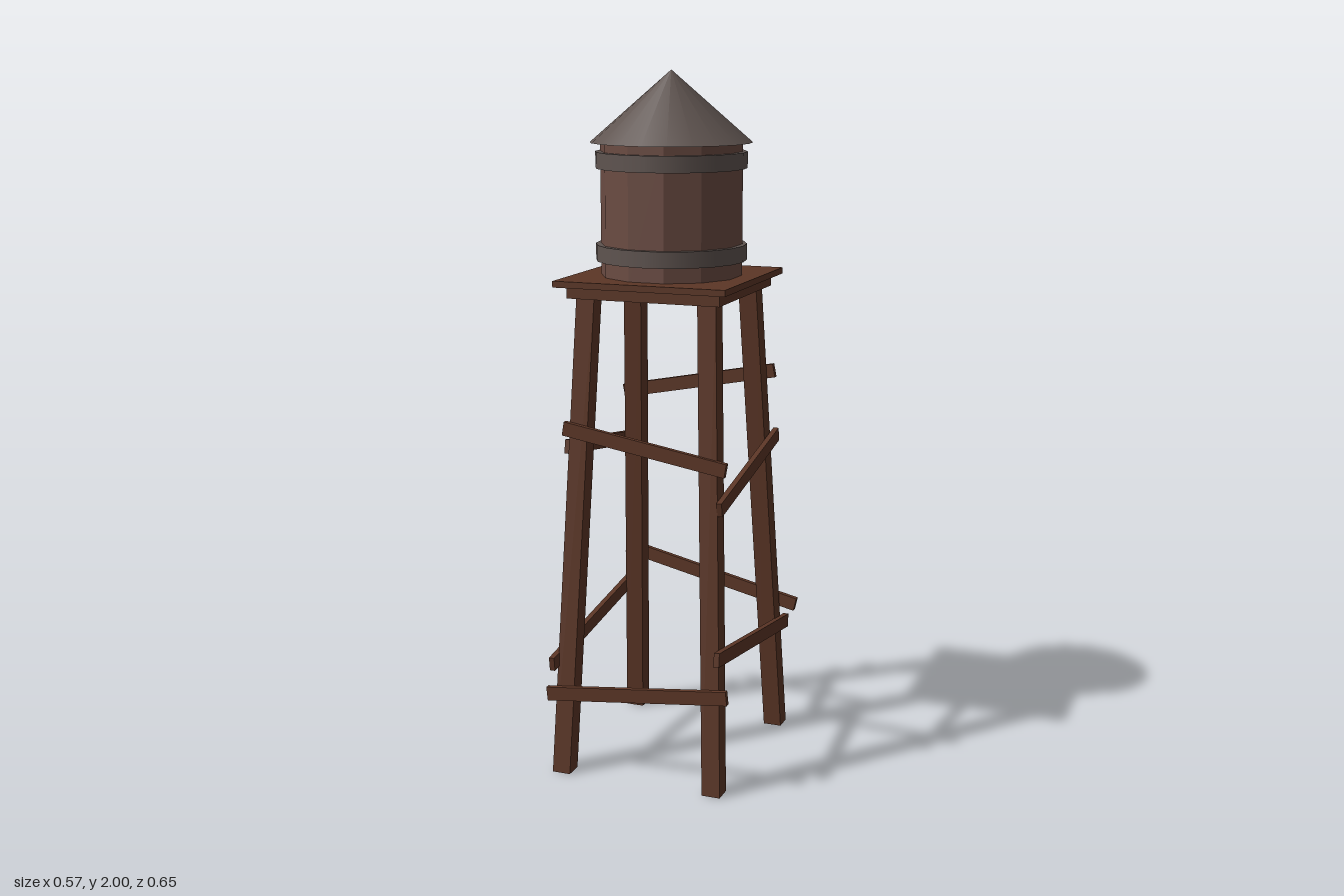
import * as THREE from 'three';

const wood = new THREE.MeshStandardMaterial({ color: 0x5c3626 });
const stave = new THREE.MeshStandardMaterial({ color: 0x6b4c43, flatShading: true });
const metal = new THREE.MeshStandardMaterial({ color: 0x5f5450 });

export function createModel() {
  const model = new THREE.Group();
  model.name = 'waterTower';

  const add = (name, geometry, material, x = 0, y = 0, z = 0) => {
    const mesh = new THREE.Mesh(geometry, material);
    mesh.name = name;
    mesh.position.set(x, y, z);
    model.add(mesh);
    return mesh;
  };

  // Tank: twelve flat staves, two hoops and a conical roof
  const cx = -0.02, cz = -0.008;
  add('tank', new THREE.CylinderGeometry(0.202, 0.202, 0.39, 12).rotateY(Math.PI / 12), stave, cx, 1.615, cz);
  for (const y of [1.493, 1.752]) {
    add('hoop', new THREE.CylinderGeometry(0.215, 0.215, 0.046, 20), metal, cx, y, cz);
  }
  add('roof', new THREE.ConeGeometry(0.23, 0.2, 20), metal, cx, 1.9, cz);

  // Platform: wide deck over a smaller base board
  add('platformDeck', new THREE.BoxGeometry(0.508, 0.018, 0.51), wood, -0.023, 1.418, -0.01);
  add('platformBase', new THREE.BoxGeometry(0.452, 0.034, 0.452), wood, -0.021, 1.393, -0.01);

  // Legs: square posts sheared inwards towards the top
  const legTop = 1.38;
  const addLeg = (x0, z0, x1, z1) => {
    const geometry = new THREE.BoxGeometry(0.054, legTop, 0.054).translate(0, legTop / 2, 0);
    const p = geometry.attributes.position;
    for (let i = 0; i < p.count; i++) {
      const t = p.getY(i) / legTop;
      p.setX(i, p.getX(i) + x0 + (x1 - x0) * t);
      p.setZ(i, p.getZ(i) + z0 + (z1 - z0) * t);
    }
    geometry.computeVertexNormals();
    add('leg', geometry, wood);
  };
  for (const [x0, x1] of [[-0.238, -0.198], [0.223, 0.162]]) {
    for (const [z0, z1] of [[0.291, 0.172], [-0.273, -0.172]]) addLeg(x0, z0, x1, z1);
  }

  // Braces: crooked planks nailed across the outside of each pair of legs
  const addBrace = (name, from, to) => {
    const a = new THREE.Vector3(...from), b = new THREE.Vector3(...to);
    const mesh = add(name, new THREE.BoxGeometry(0.016, 0.04, a.distanceTo(b)), wood);
    mesh.position.copy(a).lerp(b, 0.5);
    mesh.lookAt(b);
  };
  addBrace('frontUpperBrace', [-0.25, 1.01, 0.24], [0.235, 0.928, 0.238]);
  addBrace('frontLowerBrace', [-0.283, 0.235, 0.303], [0.263, 0.293, 0.298]);
  addBrace('backUpperBrace', [-0.258, 1.03, -0.228], [0.222, 1.125, -0.228]);
  addBrace('backLowerBrace', [-0.281, 0.513, -0.297], [0.28, 0.387, -0.287]);
  addBrace('leftUpperBrace', [0.22, 0.818, 0.25], [0.22, 0.925, -0.26]);
  addBrace('leftLowerBrace', [0.24, 0.41, 0.323], [0.24, 0.322, -0.317]);
  addBrace('rightUpperBrace', [-0.247, 0.953, 0.225], [-0.247, 0.88, -0.25]);
  addBrace('rightLowerBrace', [-0.26, 0.332, 0.323], [-0.26, 0.42, -0.317]);

  return model;
}
